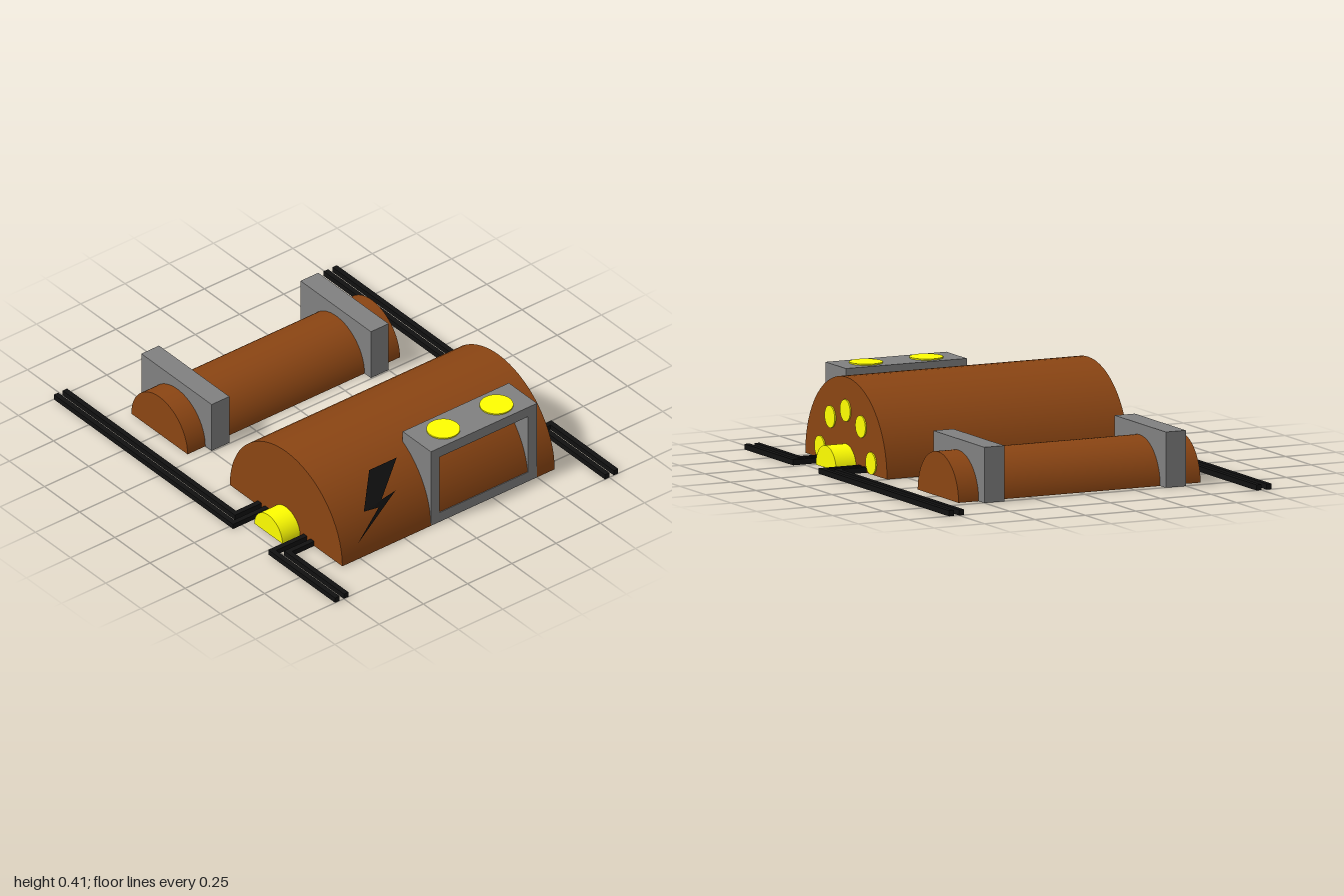
import * as THREE from 'three';

const mat = (color) => new THREE.MeshStandardMaterial({ color, side: THREE.DoubleSide });

export function createModel() {
  const model = new THREE.Group();
  const brown = mat(0x8b4513), yellow = mat(0xffff00), grey = mat(0x808080), black = mat(0x111111);

  const add = (name, geometry, material, x = 0, y = 0, z = 0) => {
    const mesh = new THREE.Mesh(geometry, material);
    mesh.name = name;
    mesh.position.set(x, y, z);
    model.add(mesh);
    return mesh;
  };
  // Box given by its two opposite corners
  const box = (name, material, x0, x1, y0, y1, z0, z1) =>
    add(name, new THREE.BoxGeometry(x1 - x0, y1 - y0, z1 - z0), material,
      (x0 + x1) / 2, (y0 + y1) / 2, (z0 + z1) / 2);
  // Half cylinder lying along z, capped at the ends and open underneath
  const halfTank = (name, material, r, length, x) =>
    add(name, new THREE.CylinderGeometry(r, r, length, 32, 1, false, -Math.PI / 2, Math.PI)
      .rotateX(-Math.PI / 2), material, x);

  // Tanks and central shaft
  halfTank('mainTank', brown, 0.4, 1.2, 0.4);
  halfTank('shaft', yellow, 0.1, 1.4, 0.4);
  halfTank('smallTank', brown, 0.2, 1.2, -0.5);

  // Brackets around the small tank
  for (const z of [-0.45, 0.45]) box('bracket', grey, -0.755, -0.255, 0, 0.25, z - 0.05, z + 0.05);

  // Side frame with an open window
  box('frameTop', grey, 0.6, 0.8, 0.35, 0.4, -0.5, 0.1);
  box('frameBottom', grey, 0.6, 0.8, 0, 0.05, -0.5, 0.1);
  for (const z of [-0.5, 0.05]) box('framePost', grey, 0.6, 0.8, 0.05, 0.35, z, z + 0.05);

  // Round lights on the frame
  for (const z of [-0.35, -0.05])
    add('topLight', new THREE.CylinderGeometry(0.075, 0.075, 0.01, 32), yellow, 0.7, 0.401, z);

  // Arc of small lights on the back cap
  for (const [x, y] of [[-0.25, 0.05], [-0.15, 0.2], [0, 0.25], [0.15, 0.2], [0.25, 0.05]])
    add('backLight', new THREE.CylinderGeometry(0.05, 0.05, 0.01, 24).rotateX(Math.PI / 2),
      yellow, 0.4 + x, y, -0.601);

  // Lightning sign, bent to follow the tank side
  const outline = [[-0.345, 0.337], [-0.19, 0.337], [-0.345, 0.225], [-0.26, 0.234],
    [-0.525, 0.097], [-0.37, 0.2], [-0.45, 0.21]];
  const bolt = new THREE.ShapeGeometry(new THREE.Shape(outline.map(([u, v]) => new THREE.Vector2(u, v))));
  const p = bolt.attributes.position;
  for (let i = 0; i < p.count; i++) {
    const u = p.getX(i), y = p.getY(i);
    const x = y > 0.22 ? 0.67 + (0.337 - y) * 0.78 : 0.815 - (y - 0.097) * 0.45;
    p.setXYZ(i, x, y, -u);
  }
  bolt.computeVertexNormals();
  add('lightningSign', bolt, black);

  // Paired rails, bending in to meet the main tank at both ends
  const w = 0.025;
  for (const s of [-1, 1]) {
    for (const [reach, zOut] of [[0.15, 0.8], [0.2, 0.75]]) {
      const zMid = s * (zOut - w / 2);
      for (const side of [-1, 1]) {
        const corner = 0.4 + side * (reach - w);
        const end = side;
        box('rail', black, Math.min(corner, end), Math.max(corner, end), 0, w, zMid - w / 2, zMid + w / 2);
        const bend = 0.4 + side * (reach - w / 2);
        const za = s * 0.6, zb = s * (zOut - w);
        box('railBend', black, bend - w / 2, bend + w / 2, 0, w, Math.min(za, zb), Math.max(za, zb));
      }
    }
  }
  return model;
}
